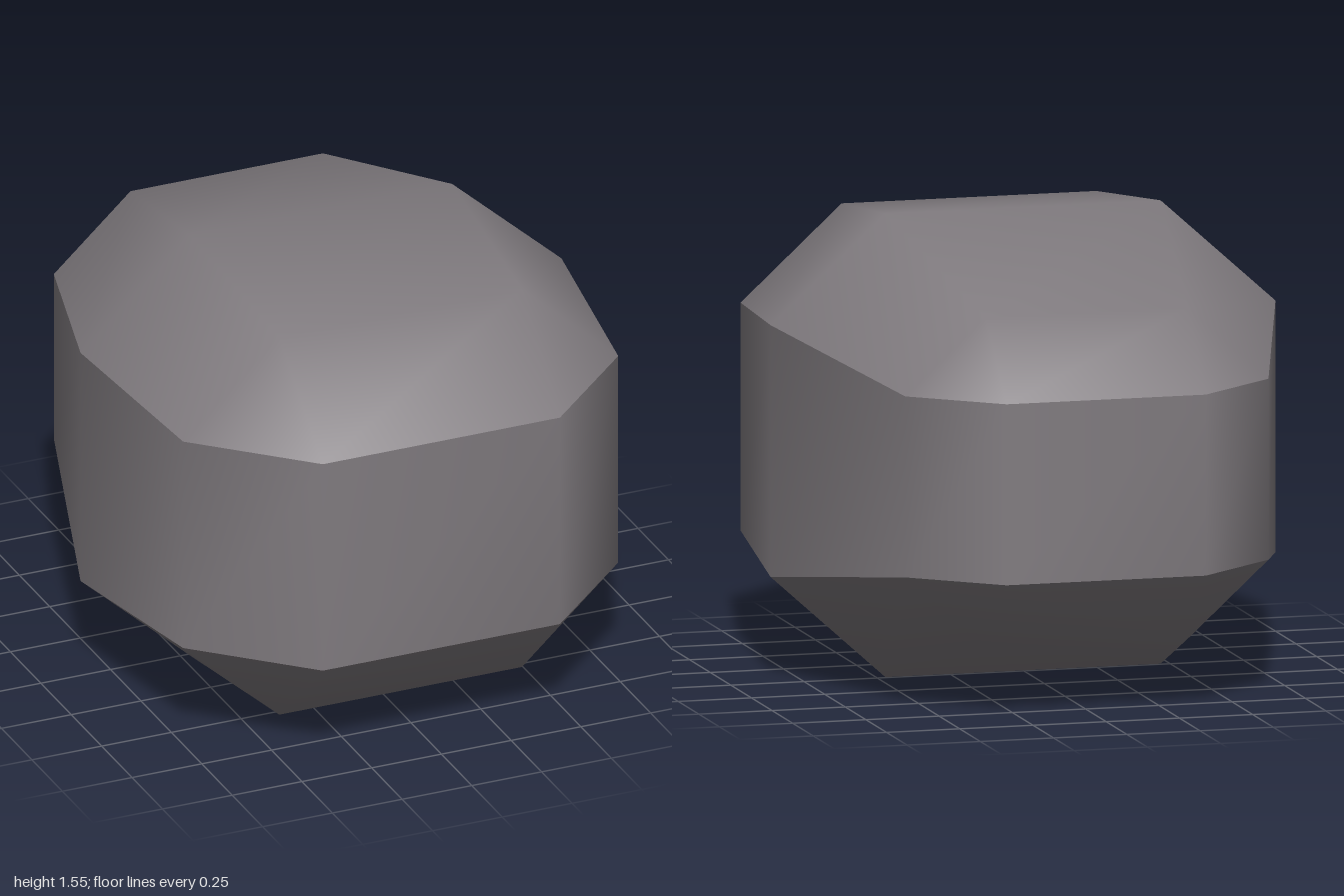
import * as THREE from 'three';

// Stations front to back: z, belt half width, belt height and ridge half width, ridge height
// (heights are measured from the middle plane; the end stations have no ridge)
const MID = 0.773;
const STATIONS = [
  { z: 1.0, w: 0.425, h: 0.38, rw: 0.425, rh: 0.38, end: true },
  { z: 0.665, w: 0.78, h: 0.38, rw: 0.435, rh: 0.695 },
  { z: 0.01, w: 0.862, h: 0.42, rw: 0.47, rh: 0.773 },
  { z: -0.765, w: 0.62, h: 0.302, rw: 0.345, rh: 0.552 },
  { z: -1.0, w: 0.34, h: 0.302, rw: 0.34, rh: 0.302, end: true },
];

function makeGeometry(points, index) {
  const g = new THREE.BufferGeometry();
  g.setAttribute('position', new THREE.Float32BufferAttribute(points, 3));
  g.setIndex(index);
  g.computeVertexNormals();
  return g;
}

// Faceted dome above (dir 1) or below (dir -1) the belt, smooth within itself
function capGeometry(dir) {
  const points = [], index = [];
  const rows = STATIONS.map((s) => {
    const add = (x, y) => points.push(x, MID + dir * y, s.z) / 3 - 1;
    const left = add(-s.w, s.h);
    if (s.end) {
      const right = add(s.w, s.h);
      return [left, left, right, right];
    }
    return [left, add(-s.rw, s.rh), add(s.rw, s.rh), add(s.w, s.h)];
  });
  const tri = (a, b, c) => {
    if (a === b || b === c || a === c) return;
    index.push(...(dir > 0 ? [a, b, c] : [a, c, b]));
  };
  for (let j = 0; j < rows.length - 1; j++) {
    for (let i = 0; i < 3; i++) {
      const a = rows[j][i], b = rows[j][i + 1];
      const c = rows[j + 1][i + 1], d = rows[j + 1][i];
      tri(a, b, c);
      tri(a, c, d);
    }
  }
  return makeGeometry(points, index);
}

// Upright wall running all the way round between the two caps
function beltGeometry() {
  const ring = [
    ...STATIONS.map((s) => [s.w, s.h, s.z]),
    ...[...STATIONS].reverse().map((s) => [-s.w, s.h, s.z]),
  ];
  const points = [], index = [];
  ring.forEach(([x, h, z], i) => {
    points.push(x, MID - h, z, x, MID + h, z);
    const l0 = 2 * i, u0 = l0 + 1;
    const l1 = 2 * ((i + 1) % ring.length), u1 = l1 + 1;
    index.push(l0, l1, u1, l0, u1, u0);
  });
  return makeGeometry(points, index);
}

export function createModel() {
  const group = new THREE.Group();
  group.name = 'boulder';
  const stone = new THREE.MeshStandardMaterial({ color: 0x7f7a7e });
  stone.name = 'stone grey';

  const parts = {
    topCap: capGeometry(1),
    belt: beltGeometry(),
    bottomCap: capGeometry(-1),
  };
  for (const [name, geometry] of Object.entries(parts)) {
    const mesh = new THREE.Mesh(geometry, stone);
    mesh.name = name;
    group.add(mesh);
  }
  return group;
}
